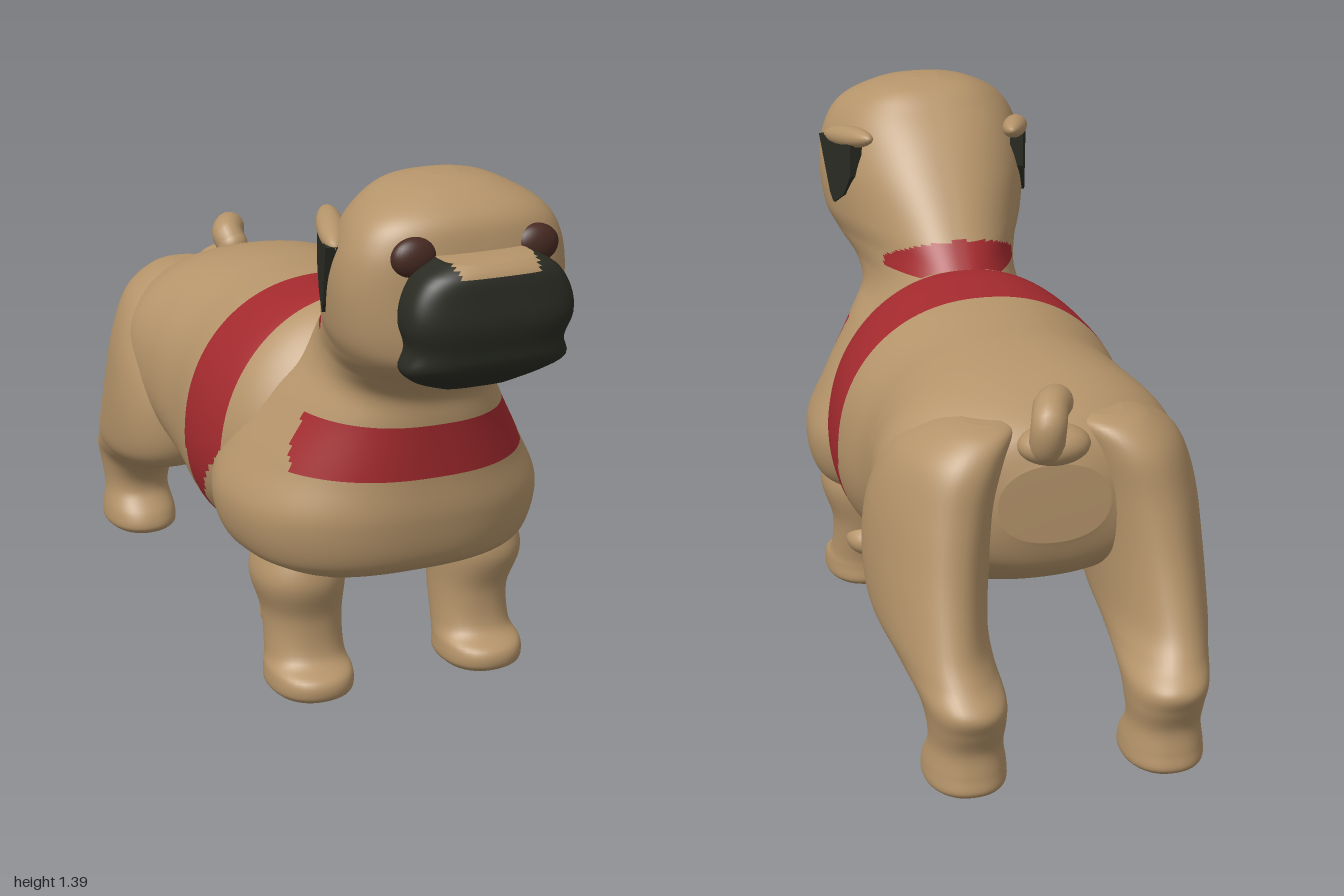
import * as THREE from 'three';

const material = (name, color) => Object.assign(new THREE.MeshStandardMaterial({ color }), { name });

// Catmull-Rom blend between rows of numbers
function blend(rows, k, t) {
  const at = (i) => rows[Math.min(rows.length - 1, Math.max(0, i))];
  const [a, b, c, d] = [at(k - 1), at(k), at(k + 1), at(k + 2)];
  return b.map((_, i) => b[i] + 0.5 * t * (c[i] - a[i]
    + t * (2 * a[i] - 5 * b[i] + 4 * c[i] - d[i] + t * (3 * (b[i] - c[i]) + d[i] - a[i]))));
}

// Closed skin through rings [position, low, high, half width, centre x, taper].
// axis 'y': rings lie flat, listed upward. axis 'z': rings stand up, listed front to back.
// pick(x, y, z) returns the index of the material for each face.
function loft(name, axis, rings, mats, { round = 0.9, cols = 64, steps = 7, pick = () => 0 } = {}) {
  const rows = [];
  for (let k = 0; k < rings.length - 1; k++)
    for (let s = 0; s < steps; s++) rows.push(blend(rings, k, s / steps));
  rows.push(rings[rings.length - 1]);

  const pos = [];
  const put = (x, v, t) => (axis === 'y' ? pos.push(x, t, v) : pos.push(x, v, t));
  const power = (v) => Math.sign(v) * Math.abs(v) ** round;
  for (const [t, lo, hi, hw, xc, taper] of rows)
    for (let j = 0; j < cols; j++) {
      const a = (j / cols) * Math.PI * 2;
      const c = power(Math.cos(a));
      const w = hw * power(Math.sin(a)) * (1 + taper * c) / (1 + taper * taper / 2);
      put(xc + w, (lo + hi) / 2 + c * (hi - lo) / 2, t);
    }
  const last = rows.length - 1;
  for (const r of [rows[0], rows[last]]) put(r[4], (r[1] + r[2]) / 2, r[0]);

  const faces = mats.map(() => []);
  const add = (...ids) => {
    const mid = [0, 1, 2].map((n) => ids.reduce((sum, i) => sum + pos[i * 3 + n], 0) / ids.length);
    const list = faces[pick(...mid)];
    for (let i = 1; i < ids.length - 1; i++) list.push(ids[0], ids[i], ids[i + 1]);
  };
  const end = rows.length * cols;
  for (let j = 0; j < cols; j++) {
    const n = (j + 1) % cols;
    add(end, n, j);
    add(end + 1, last * cols + j, last * cols + n);
    for (let i = 0; i < last; i++)
      add(i * cols + j, i * cols + n, (i + 1) * cols + n, (i + 1) * cols + j);
  }
  const geo = new THREE.BufferGeometry();
  geo.setAttribute('position', new THREE.Float32BufferAttribute(pos, 3));
  geo.setIndex(faces.flat());
  let start = 0;
  faces.forEach((f, i) => {
    geo.addGroup(start, f.length, i);
    start += f.length;
  });
  geo.computeVertexNormals();
  const mesh = new THREE.Mesh(geo, mats);
  mesh.name = name;
  return mesh;
}

export function createModel() {
  const dog = new THREE.Group();
  dog.name = 'dog';
  const fur = material('tan fur', 0xb5946a);
  const red = material('red harness', 0xa32a2e);
  const black = material('black mask', 0x2a2c23);
  const brown = material('brown eye', 0x472a22);

  const place = (name, geo, mat, p, s = [1, 1, 1]) => {
    const m = new THREE.Mesh(geo, mat);
    m.name = name;
    m.position.set(...p);
    m.scale.set(...s);
    dog.add(m);
    return m;
  };

  // Barrel of the body with the girth strap, narrowing under the belly
  const girth = (x, y, z) => {
    const k = THREE.MathUtils.clamp((y - 0.4) / 0.18, 0, 1);
    return z < 0.02 + 0.16 * k && z > -0.015 - 0.025 * k ? 1 : 0;
  };
  dog.add(loft('body', 'z', [
    [0.42, 0.42, 0.78, 0.20, 0, -0.1],
    [0.30, 0.34, 0.90, 0.32, 0, -0.15],
    [0.18, 0.29, 0.962, 0.378, 0, -0.15],
    [0.00, 0.23, 0.957, 0.397, 0, -0.07],
    [-0.20, 0.27, 0.945, 0.375, 0, -0.08],
    [-0.35, 0.32, 0.940, 0.38, 0, -0.05],
    [-0.50, 0.36, 0.920, 0.39, 0, 0],
    [-0.63, 0.42, 0.880, 0.34, 0, 0],
    [-0.71, 0.48, 0.830, 0.26, 0, 0],
    [-0.745, 0.56, 0.760, 0.14, 0, 0],
  ], [fur, red], { pick: girth, steps: 16, cols: 112 }));

  // Chest, neck and head in one skin, with chest strap and collar
  const straps = (x, y, z) => {
    const chest = y > 0.62 && y < 0.76 && z > 0.46 + 0.5 * Math.max(0, 0.69 - y);
    const collar = y > 0.935 && z < 0.37 && y < 1.03 - 0.5 * (z - 0.23);
    return chest || collar ? 1 : 0;
  };
  dog.add(loft('chestNeckAndHead', 'y', [
    [0.325, 0.17, 0.54, 0.29, 0, 0],
    [0.38, 0.06, 0.63, 0.385, 0, -0.1],
    [0.50, 0.00, 0.665, 0.415, 0, -0.1],
    [0.62, 0.00, 0.67, 0.365, 0, -0.12],
    [0.76, 0.04, 0.68, 0.275, 0, -0.05],
    [0.84, 0.09, 0.695, 0.215, 0, 0.1],
    [0.90, 0.13, 0.77, 0.21, 0, 0.25],
    [0.96, 0.18, 0.86, 0.242, 0, 0.36],
    [1.03, 0.24, 0.88, 0.272, 0, 0.36],
    [1.15, 0.335, 0.88, 0.283, 0, 0.3],
    [1.25, 0.42, 0.874, 0.265, 0, 0.24],
    [1.32, 0.49, 0.85, 0.22, 0, 0.15],
    [1.37, 0.55, 0.78, 0.135, 0, 0],
    [1.39, 0.62, 0.70, 0.04, 0, 0],
  ], [fur, red], { pick: straps, round: 0.81, steps: 12, cols: 160 }));

  // Dark muzzle with a pale fold over the nose
  dog.add(loft('muzzle', 'y', [
    [0.92, 0.82, 0.88, 0.09, 0, 0],
    [0.95, 0.82, 0.92, 0.165, 0, 0],
    [0.99, 0.82, 0.97, 0.208, 0, 0],
    [1.04, 0.82, 0.985, 0.195, 0, 0],
    [1.10, 0.82, 1.00, 0.213, 0, 0],
    [1.16, 0.82, 0.997, 0.205, 0, 0],
    [1.215, 0.82, 0.99, 0.17, 0, 0],
    [1.245, 0.82, 0.965, 0.115, 0, 0],
  ], [black, fur], { pick: (x, y) => (y > 1.215 && Math.abs(x) < 0.105 ? 1 : 0), round: 0.65, steps: 4 }));

  // Drooping ear tip outline, forward and up from the ear's root
  const tip = new THREE.Shape([
    [0.09, 1.235], [0.03, 1.08], [0.01, 1.055], [-0.05, 1.09], [-0.09, 1.15], [-0.095, 1.24],
  ].map(([z, y]) => new THREE.Vector2(z, y)));
  const tipGeo = new THREE.ExtrudeGeometry(tip, { depth: 0.036, bevelEnabled: false }).translate(0, 0, -0.018);
  const ball = new THREE.SphereGeometry(1, 28, 20);

  for (const [side, s] of [['left', 1], ['right', -1]]) {
    place(side + 'Eye', ball, brown, [s * 0.157, 1.242, 0.85], [0.058, 0.048, 0.032]);
    place(side + 'EarFold', ball, fur, [s * 0.238, 1.25, 0.56], [0.034, 0.03, 0.125]).rotation.set(0.15, s * 0.32, 0);
    place(side + 'EarTip', tipGeo, black, [s * 0.256, 0, 0.59]).rotation.y = -Math.PI / 2 + s * 0.3;

    // Front leg with a broad paw and a pad behind it
    dog.add(loft(side + 'FrontLeg', 'y', [
      [0.0, 0.32, 0.53, 0.09, s * 0.24, 0],
      [0.02, 0.29, 0.555, 0.108, s * 0.24, 0],
      [0.06, 0.29, 0.55, 0.108, s * 0.24, 0],
      [0.10, 0.285, 0.49, 0.1, s * 0.237, 0],
      [0.20, 0.255, 0.48, 0.1, s * 0.237, 0],
      [0.31, 0.235, 0.51, 0.117, s * 0.25, 0],
      [0.42, 0.25, 0.48, 0.1, s * 0.235, 0],
    ], [fur], { cols: 36 }));
    place(side + 'LegPad', ball, fur, [s * 0.24, 0.158, 0.295], [0.075, 0.05, 0.078]);

    // Hind leg: thigh, hock and paw
    dog.add(loft(side + 'HindLeg', 'y', [
      [0.0, -0.94, -0.73, 0.08, s * 0.25, 0],
      [0.02, -0.965, -0.705, 0.1, s * 0.25, 0],
      [0.06, -0.96, -0.715, 0.1, s * 0.25, 0],
      [0.12, -0.955, -0.755, 0.09, s * 0.25, 0],
      [0.18, -0.98, -0.735, 0.095, s * 0.25, 0],
      [0.235, -0.998, -0.66, 0.103, s * 0.255, 0],
      [0.29, -0.95, -0.50, 0.115, s * 0.27, 0.1],
      [0.36, -0.905, -0.355, 0.135, s * 0.28, 0.2],
      [0.50, -0.85, -0.325, 0.15, s * 0.272, 0.25],
      [0.65, -0.81, -0.36, 0.155, s * 0.25, 0.25],
      [0.77, -0.785, -0.42, 0.14, s * 0.215, 0.2],
      [0.835, -0.74, -0.50, 0.1, s * 0.17, 0.1],
      [0.855, -0.68, -0.55, 0.05, s * 0.15, 0],
    ], [fur], { cols: 48 }));
  }

  // Curled tail
  const curl = new THREE.CatmullRomCurve3([
    [0, 0.79, -0.69], [0.025, 0.82, -0.76], [0.025, 0.88, -0.775],
    [0.01, 0.905, -0.735], [-0.015, 0.9, -0.685], [-0.01, 0.875, -0.66],
  ].map((p) => new THREE.Vector3(...p)));
  place('tail', new THREE.TubeGeometry(curl, 40, 0.044, 16), fur, [0, 0, 0]);
  place('tailTip', ball, fur, [-0.01, 0.875, -0.66], [0.044, 0.044, 0.044]);
  place('tailBase', ball, fur, [0, 0.81, -0.73], [0.09, 0.05, 0.065]);
  return dog;
}
